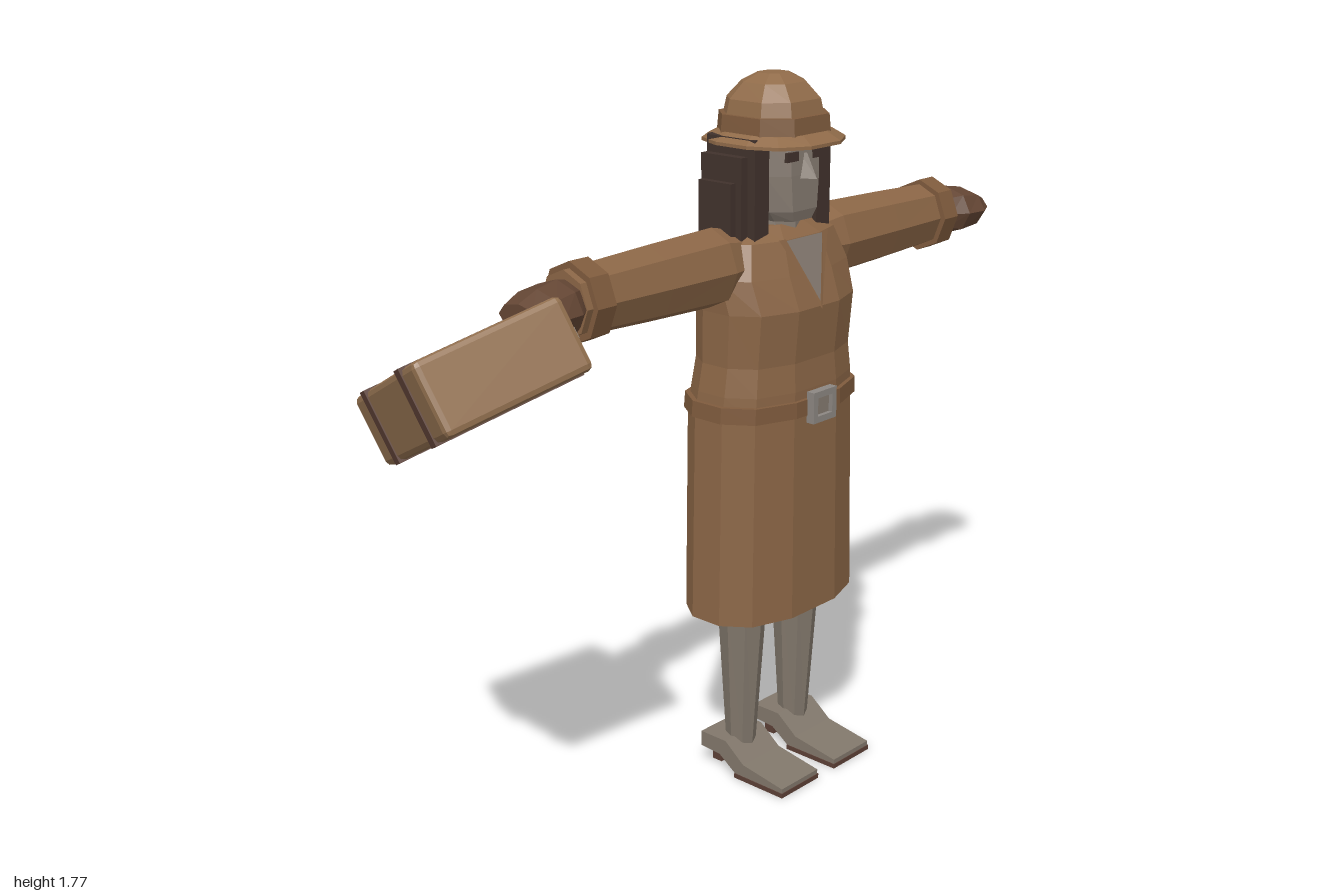
import * as THREE from 'three';
import { RoundedBoxGeometry } from 'three/addons/geometries/RoundedBoxGeometry.js';

const CX = 0.18; // the figure stands beside the centre, balanced by the case

const OCTAGON = Array.from({ length: 8 }, (_, i) => [Math.cos(i * Math.PI / 4), Math.sin(i * Math.PI / 4)]);
const CHAMFERED = [[1, -0.5], [1, 0.5], [0.55, 1], [-0.55, 1], [-1, 0.5], [-1, -0.5], [-0.55, -1], [0.55, -1]];
const TORSO = [[1, -0.3], [1, 0.3], [0.8, 0.75], [0.35, 1], [-0.35, 1], [-0.8, 0.75],
  [-1, 0.3], [-1, -0.3], [-0.8, -0.75], [-0.35, -1], [0.35, -1], [0.8, -0.75]];

function flat(geometry) {
  const g = geometry.index ? geometry.toNonIndexed() : geometry;
  g.computeVertexNormals();
  return g;
}

// Skin cross-sections given as [y, half width, front z, back z]
function loft(section, rows, bottom = true, top = true) {
  const n = section.length, pos = [], idx = [];
  for (const [y, hx, zf, zb] of rows)
    for (const [sx, sz] of section) pos.push(sx * hx, y, (zf + zb) / 2 + sz * (zf - zb) / 2);
  for (let r = 0; r < rows.length - 1; r++)
    for (let i = 0; i < n; i++) {
      const a = r * n + i, b = r * n + (i + 1) % n;
      idx.push(a, b + n, b, a, a + n, b + n);
    }
  const last = (rows.length - 1) * n;
  for (let i = 1; i < n - 1; i++) {
    if (bottom) idx.push(0, i, i + 1);
    if (top) idx.push(last, last + i + 1, last + i);
  }
  const g = new THREE.BufferGeometry();
  g.setAttribute('position', new THREE.Float32BufferAttribute(pos, 3));
  g.setIndex(idx);
  return flat(g);
}

export function createModel() {
  const model = new THREE.Group();
  model.name = 'travellerWithSuitcase';
  const colour = (name, color, extra = {}) => Object.assign(new THREE.MeshStandardMaterial({ color, ...extra }), { name });
  const coatMat = colour('coatBrown', 0x8b6646, { side: THREE.DoubleSide });
  const hatMat = colour('hatBrown', 0x906b49);
  const beltMat = colour('beltBrown', 0x7f5b3d);
  const hairMat = colour('hairDark', 0x41322c);
  const gloveMat = colour('gloveBrown', 0x644634);
  const skinMat = colour('skinGrey', 0x857a70, { side: THREE.DoubleSide });
  const legMat = colour('stockingGrey', 0x81776b);
  const caseMat = colour('caseTan', 0x92704f);
  const strapMat = colour('strapBrown', 0x5c4036);
  const metalMat = colour('metalGrey', 0x8c8782);

  const add = (parent, name, geometry, material, x = 0, y = 0, z = 0) => {
    const mesh = new THREE.Mesh(geometry, material);
    mesh.name = name;
    mesh.position.set(x, y, z);
    parent.add(mesh);
    return mesh;
  };
  const box = (parent, name, w, h, d, material, x, y, z) =>
    add(parent, name, new THREE.BoxGeometry(w, h, d), material, x, y, z);

  const figure = new THREE.Group();
  figure.name = 'figure';
  figure.position.x = CX;
  model.add(figure);

  // Coat, open at the hem
  add(figure, 'coat', loft(TORSO, [
    [0.447, 0.24, 0.17, -0.125], [0.97, 0.227, 0.165, -0.125], [1.03, 0.222, 0.165, -0.115],
    [1.1, 0.212, 0.16, -0.105], [1.23, 0.215, 0.172, -0.105], [1.31, 0.222, 0.143, -0.11],
    [1.39, 0.19, 0.115, -0.105], [1.42, 0.12, 0.08, -0.07],
  ], false), coatMat);

  // Neckline: skin wedge and lapel edges lying on the sloping chest
  const slope = (x, y, lift) => [x, y, 0.172 - (y - 1.23) * 0.356 + lift];
  const facets = (points) => {
    const g = new THREE.BufferGeometry();
    g.setAttribute('position', new THREE.Float32BufferAttribute(points.flat(), 3));
    return flat(g);
  };
  add(figure, 'neckline', facets([slope(0, 1.235, 0.004), slope(0.07, 1.39, 0.004), slope(-0.07, 1.39, 0.004)]), skinMat);
  for (const s of [-1, 1]) {
    const a = slope(0, 1.225, 0.006), b = slope(s * 0.09, 1.395, 0.006);
    const c = slope(s * 0.068, 1.395, 0.008), d = slope(0, 1.24, 0.008);
    add(figure, 'lapel', facets(s > 0 ? [a, b, c, a, c, d] : [a, c, b, a, d, c]), coatMat);
  }

  // Belt and buckle
  add(figure, 'belt', loft(TORSO, [[0.968, 0.237, 0.175, -0.133], [1.008, 0.235, 0.175, -0.13]]), beltMat);
  for (const s of [-1, 1]) {
    box(figure, 'buckleSide', 0.016, 0.078, 0.022, metalMat, s * 0.035, 0.988, 0.184);
    box(figure, 'buckleRail', 0.056, 0.016, 0.022, metalMat, 0, 0.988 + s * 0.031, 0.184);
  }
  box(figure, 'bucklePlate', 0.054, 0.046, 0.008, skinMat, 0, 0.988, 0.18);

  // Head
  add(figure, 'neck', loft(OCTAGON, [[1.34, 0.075, 0.1, -0.04], [1.46, 0.07, 0.09, -0.04]]), skinMat);
  add(figure, 'face', loft(CHAMFERED, [
    [1.43, 0.06, 0.115, -0.03], [1.455, 0.08, 0.122, -0.05], [1.54, 0.092, 0.122, -0.06], [1.63, 0.092, 0.118, -0.06],
  ]), skinMat);
  add(figure, 'nose', loft([[1, -1], [0, 1], [-1, -1]], [[1.532, 0.026, 0.157, 0.11], [1.59, 0.008, 0.126, 0.11]]), skinMat);
  for (const s of [-1, 1]) {
    box(figure, 'eye', 0.042, 0.022, 0.008, hairMat, s * 0.047, 1.585, 0.119);
    // Stepped locks of hair
    box(figure, 'frontLock', 0.05, 0.24, 0.15, hairMat, s * 0.113, 1.51, 0.01);
    box(figure, 'middleLock', 0.03, 0.2, 0.125, hairMat, s * 0.145, 1.49, 0);
    box(figure, 'outerLock', 0.025, 0.14, 0.1, hairMat, s * 0.165, 1.46, -0.005);
  }
  box(figure, 'backHair', 0.25, 0.25, 0.07, hairMat, 0, 1.505, -0.038);
  box(figure, 'hairNape', 0.18, 0.22, 0.03, hairMat, 0, 1.48, -0.062);

  // Hat
  add(figure, 'hatBrim', loft(TORSO, [[1.61, 0.153, 0.182, -0.135], [1.618, 0.153, 0.182, -0.135], [1.637, 0.125, 0.15, -0.1]]), hatMat);
  add(figure, 'hatBand', loft(CHAMFERED, [[1.63, 0.12, 0.143, -0.098], [1.676, 0.117, 0.139, -0.094]]), beltMat);
  add(figure, 'hatCrown', loft(CHAMFERED, [
    [1.67, 0.108, 0.128, -0.085], [1.71, 0.1, 0.12, -0.077], [1.748, 0.07, 0.088, -0.045], [1.768, 0.035, 0.055, -0.012],
  ]), hatMat);

  // Arms: lofted upright, then laid out sideways
  for (const s of [-1, 1]) {
    const arm = new THREE.Group();
    arm.name = s > 0 ? 'leftArm' : 'rightArm';
    arm.position.y = 1.335;
    figure.add(arm);
    const limb = (name, rows, material) => add(arm, name, loft(OCTAGON, rows).rotateZ(-s * Math.PI / 2), material);
    limb('sleeve', [[0.12, 0.075, 0.08, -0.055], [0.21, 0.095, 0.097, -0.07], [0.42, 0.089, 0.092, -0.066], [0.62, 0.081, 0.085, -0.06]], coatMat);
    limb('cuff', [[0.605, 0.094, 0.1, -0.074], [0.662, 0.094, 0.1, -0.074]], beltMat);
    limb('cuffEdge', [[0.655, 0.078, 0.086, -0.06], [0.68, 0.078, 0.086, -0.06]], coatMat);
    limb('glove', [[0.67, 0.055, 0.075, -0.045], [0.71, 0.064, 0.105, -0.058], [0.77, 0.054, 0.112, -0.058], [0.82, 0.03, 0.085, -0.04]], gloveMat);
  }

  // Legs and heeled shoes
  const shoeSide = new THREE.Shape([
    [0.22, 0.01], [0.22, 0.024], [0.09, 0.045], [0.03, 0.092], [-0.054, 0.092], [-0.054, 0.052], [0.01, 0.048], [0.065, 0.01],
  ].map(([z, y]) => new THREE.Vector2(z, y)));
  for (const s of [-1, 1]) {
    const leg = new THREE.Group();
    leg.name = s > 0 ? 'leftLeg' : 'rightLeg';
    leg.position.x = s * 0.104;
    figure.add(leg);
    add(leg, 'stocking', loft(OCTAGON, [[0.07, 0.037, 0.06, -0.018], [0.47, 0.058, 0.09, -0.045], [0.8, 0.065, 0.095, -0.05]]), legMat);
    const upper = new THREE.ExtrudeGeometry(shoeSide, { depth: 0.14, bevelEnabled: false });
    add(leg, 'shoe', upper.translate(0, 0, -0.07).rotateY(-Math.PI / 2), legMat);
    box(leg, 'sole', 0.144, 0.012, 0.16, strapMat, 0, 0.006, 0.142);
    box(leg, 'heel', 0.06, 0.055, 0.03, strapMat, 0, 0.0275, -0.034);
  }

  // Suitcase swinging from the right hand: local x runs to the handle, z along its length
  const suitcase = new THREE.Group();
  suitcase.name = 'suitcase';
  const width = new THREE.Vector3(0.32, 0.09, 0.08).normalize();
  const depth = new THREE.Vector3(-0.16, 0.19, 0.396).cross(width).normalize();
  const length = new THREE.Vector3().crossVectors(width, depth);
  suitcase.quaternion.setFromRotationMatrix(new THREE.Matrix4().makeBasis(width, depth, length));
  suitcase.position.set(-0.76, 1.213, 0);
  model.add(suitcase);
  add(suitcase, 'caseBody', flat(new RoundedBoxGeometry(0.345, 0.165, 0.475, 1, 0.014)), caseMat);
  for (const s of [-1, 1]) {
    box(suitcase, 'strap', 0.351, 0.171, 0.032, strapMat, 0, 0, s * 0.14);
    box(suitcase, 'handlePost', 0.055, 0.022, 0.02, metalMat, 0.195, 0, s * 0.065);
  }
  box(suitcase, 'handleGrip', 0.02, 0.026, 0.15, metalMat, 0.226, 0, 0);

  return model;
}
